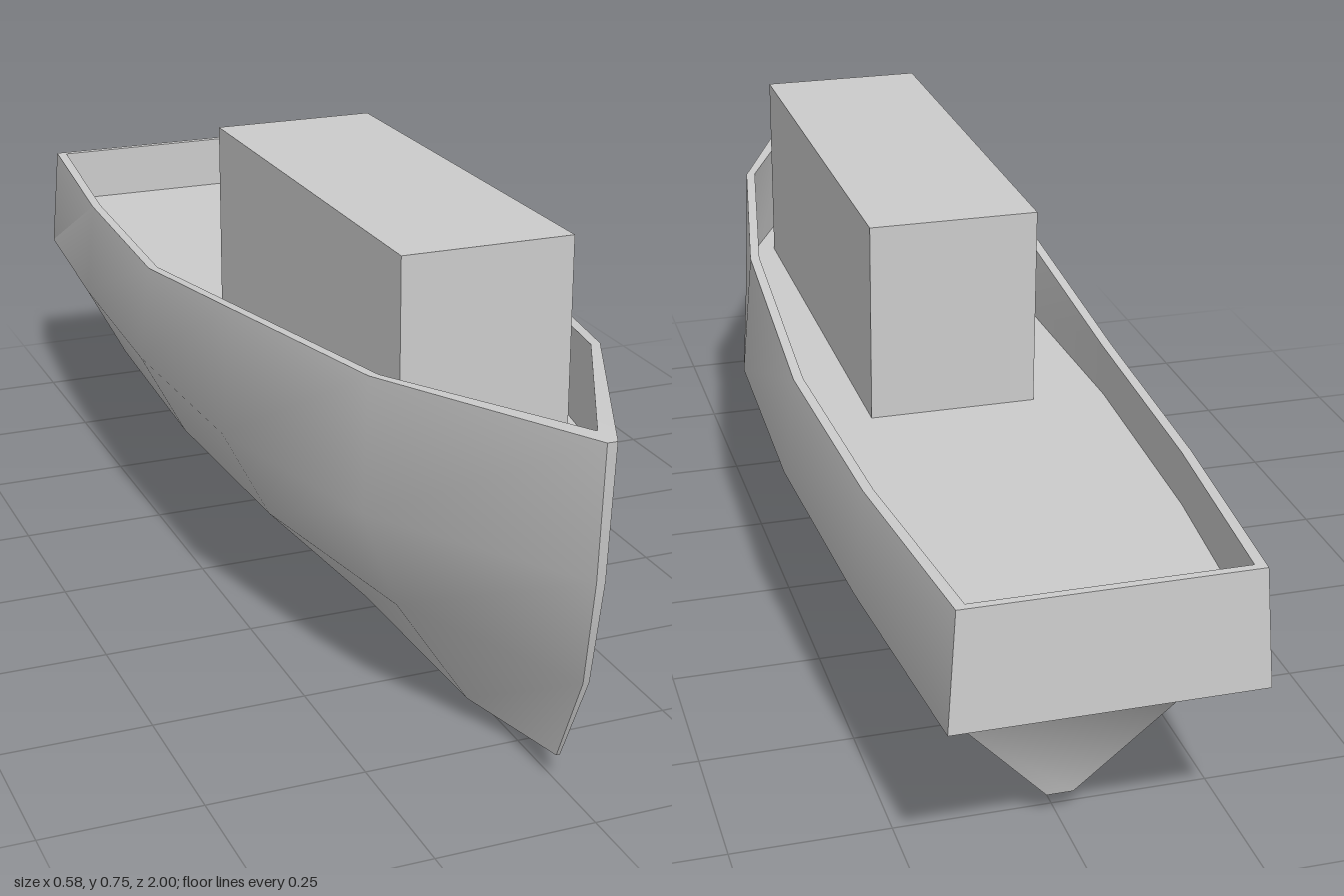
import * as THREE from 'three';
import { mergeGeometries, toCreasedNormals } from 'three/addons/utils/BufferGeometryUtils.js';

const DECK_Y = 0.41;

// Hull frames from bow to stern; each lists [half width, y, z] for keel, bilge, chine and sheer
const FRAMES = [
  [[0.003, 0.045, 0.88], [0.005, 0.2, 0.955], [0.007, 0.37, 0.985], [0.008, 0.583, 1]],
  [[0.02, 0.005, 0.61], [0.142, 0.19, 0.61], [0.198, 0.35, 0.61], [0.19, 0.568, 0.61]],
  [[0.025, 0, 0.21], [0.2, 0.185, 0.21], [0.28, 0.34, 0.21], [0.261, 0.553, 0.21]],
  [[0.025, 0, -0.2], [0.212, 0.183, -0.2], [0.292, 0.335, -0.2], [0.272, 0.5, -0.2]],
  [[0.024, 0.022, -0.61], [0.2, 0.195, -0.61], [0.272, 0.33, -0.61], [0.256, 0.5, -0.61]],
  [[0.021, 0.045, -0.79], [0.165, 0.215, -0.84], [0.235, 0.32, -1], [0.222, 0.508, -0.99]],
];

const mirror = ([x, y, z]) => [-x, y, z];

// Skins a grid of points, given as rows of equal length
function skin(rows) {
  const n = rows[0].length;
  const index = [];
  for (let i = 0; i < rows.length - 1; i++) {
    for (let j = 0; j < n - 1; j++) {
      const a = i * n + j, b = a + n;
      index.push(a, b, b + 1, a, b + 1, a + 1);
    }
  }
  const geometry = new THREE.BufferGeometry();
  geometry.setAttribute('position', new THREE.Float32BufferAttribute(rows.flat(2), 3));
  geometry.setIndex(index);
  return geometry;
}

export function createModel() {
  const boat = new THREE.Group();
  boat.name = 'boat';
  const material = new THREE.MeshStandardMaterial({ color: 0xcccccc, side: THREE.DoubleSide });
  const add = (name, geometry, crease = 0.75) => {
    const mesh = new THREE.Mesh(toCreasedNormals(geometry, crease), material);
    mesh.name = name;
    boat.add(mesh);
    return mesh;
  };

  // Hull: two mirrored sides joined by a strip down the stem, along the keel and up the transom
  const bow = FRAMES[0], stern = FRAMES[FRAMES.length - 1];
  const centreLine = [
    ...bow.slice(1).reverse(),
    ...FRAMES.map((frame) => frame[0]),
    ...stern.slice(1),
  ];
  add('hull', mergeGeometries([
    skin(FRAMES),
    skin([...FRAMES].reverse().map((frame) => frame.map(mirror))),
    skin(centreLine.map((p) => [mirror(p), p])),
  ]));

  // Bulwark: thin rim on the sheer and inner wall down to the deck
  const sheer = FRAMES.map((frame) => frame[3]);
  const inner = sheer.map(([x, y, z], i) => [
    Math.max(x - 0.016, 0.001), y,
    i === 0 ? 0.955 : i === sheer.length - 1 ? -0.977 : z,
  ]);
  const deckEdge = inner.map(([x, , z]) => [x + (x > 0.01 ? 0.005 : 0), DECK_Y, z]);
  const ring = (side) => [...side, ...[...side].reverse().map(mirror), side[0]];
  const [outerRing, innerRing, deckRing] = [sheer, inner, deckEdge].map(ring);
  add('bulwark', skin(outerRing.map((p, i) => [p, innerRing[i], deckRing[i]])), 0.5);

  // Flat deck
  add('deck', skin(deckEdge.map((p) => [p, mirror(p)])));

  // Cabin block standing on the deck
  const cabinHeight = 0.745 - DECK_Y;
  add('cabin', new THREE.BoxGeometry(0.28, cabinHeight, 0.8))
    .position.set(0, DECK_Y + cabinHeight / 2, 0.21);

  return boat;
}
